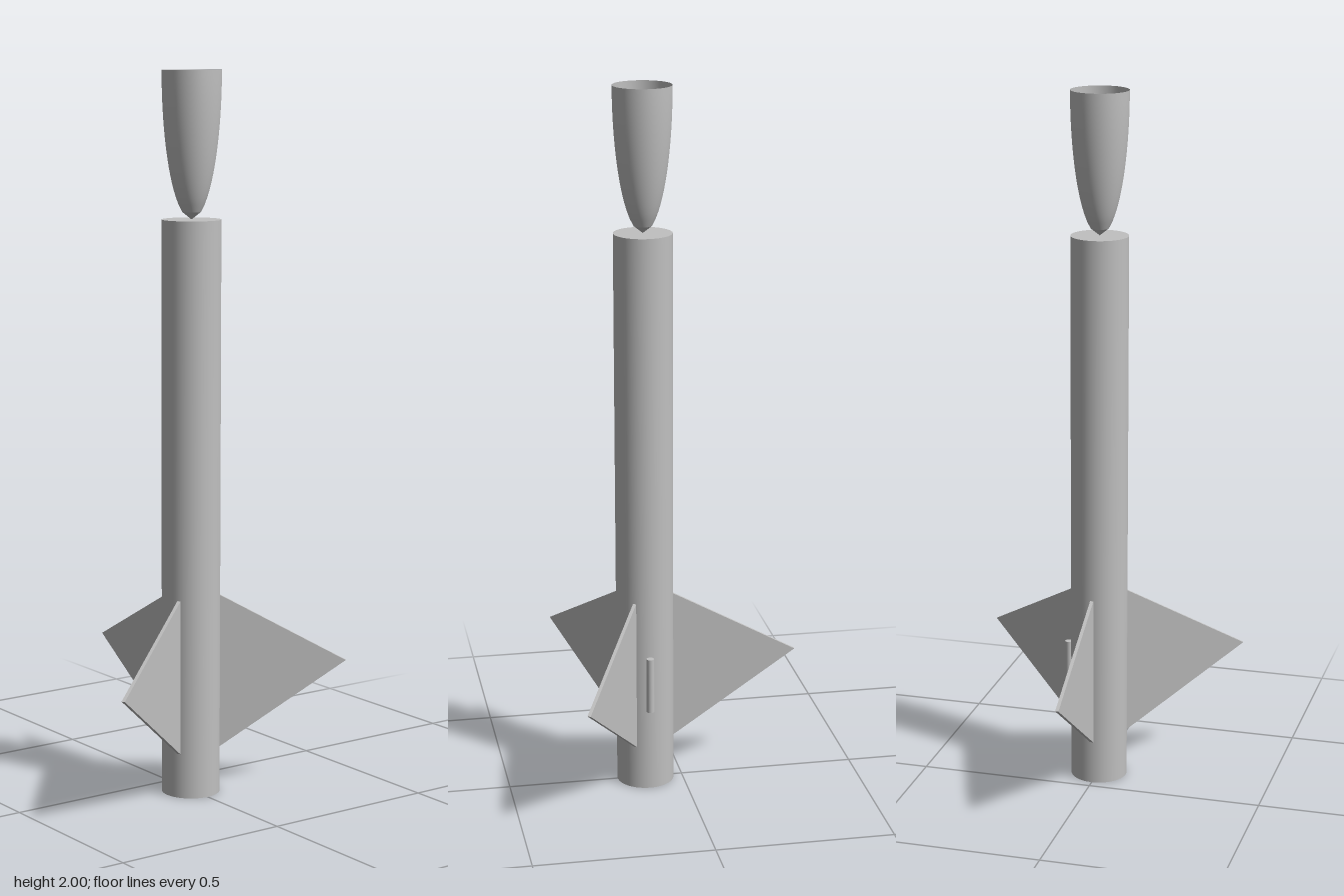
import * as THREE from 'three';

const R = 0.081;          // body radius
const AXIS_Z = 0.106;     // body axis, offset so the three fins are centred
const BODY_H = 1.6, NOSE_H = 0.4;

export function createModel() {
  const grey = new THREE.MeshStandardMaterial({ color: 0xc0c0c0 });
  grey.name = 'plain grey';
  grey.side = THREE.DoubleSide;

  const rocket = new THREE.Group();
  rocket.name = 'modelRocket';
  const add = (name, geometry, parent = rocket) => {
    const mesh = new THREE.Mesh(geometry, grey);
    mesh.name = name;
    parent.add(mesh);
    return mesh;
  };

  // Body tube, capped at both ends
  add('bodyTube', new THREE.CylinderGeometry(R, R, BODY_H, 64)).position.y = BODY_H / 2;

  // Hollow elliptical nose cone, tip down and open at the top
  const nose = new THREE.Group();
  nose.name = 'noseCone';
  rocket.add(nose);
  const steps = 20;
  const profile = [];
  for (let i = 0; i <= steps; i++) {
    const t = i / steps;
    profile.push(new THREE.Vector2(R * Math.sqrt(1 - (1 - t) ** 2), BODY_H + NOSE_H * t));
  }
  add('noseTip', new THREE.LatheGeometry(profile.slice(0, 2), 64), nose);
  add('noseShell', new THREE.LatheGeometry(profile.slice(1), 64), nose);

  // Three thin triangular fins
  const thickness = 0.0095;
  const outline = new THREE.Shape([
    new THREE.Vector2(R - 0.001, 0.125),
    new THREE.Vector2(0.436, 0.365),
    new THREE.Vector2(R - 0.001, 0.56),
  ]);
  const finGeometry = new THREE.ExtrudeGeometry(outline, { depth: thickness, bevelEnabled: false });
  finGeometry.translate(0, 0, -thickness / 2);
  ['backFin', 'leftFin', 'rightFin'].forEach((name, i) => {
    add(name, finGeometry).rotation.y = Math.PI / 2 + (i * 2 * Math.PI) / 3 * -1;
  });

  // Launch lug on the side of the body
  add('launchLug', new THREE.CylinderGeometry(0.011, 0.011, 0.16, 24)).position.set(0.091, 0.32, 0);

  rocket.position.z = AXIS_Z;
  const model = new THREE.Group();
  model.add(rocket);
  return model;
}
